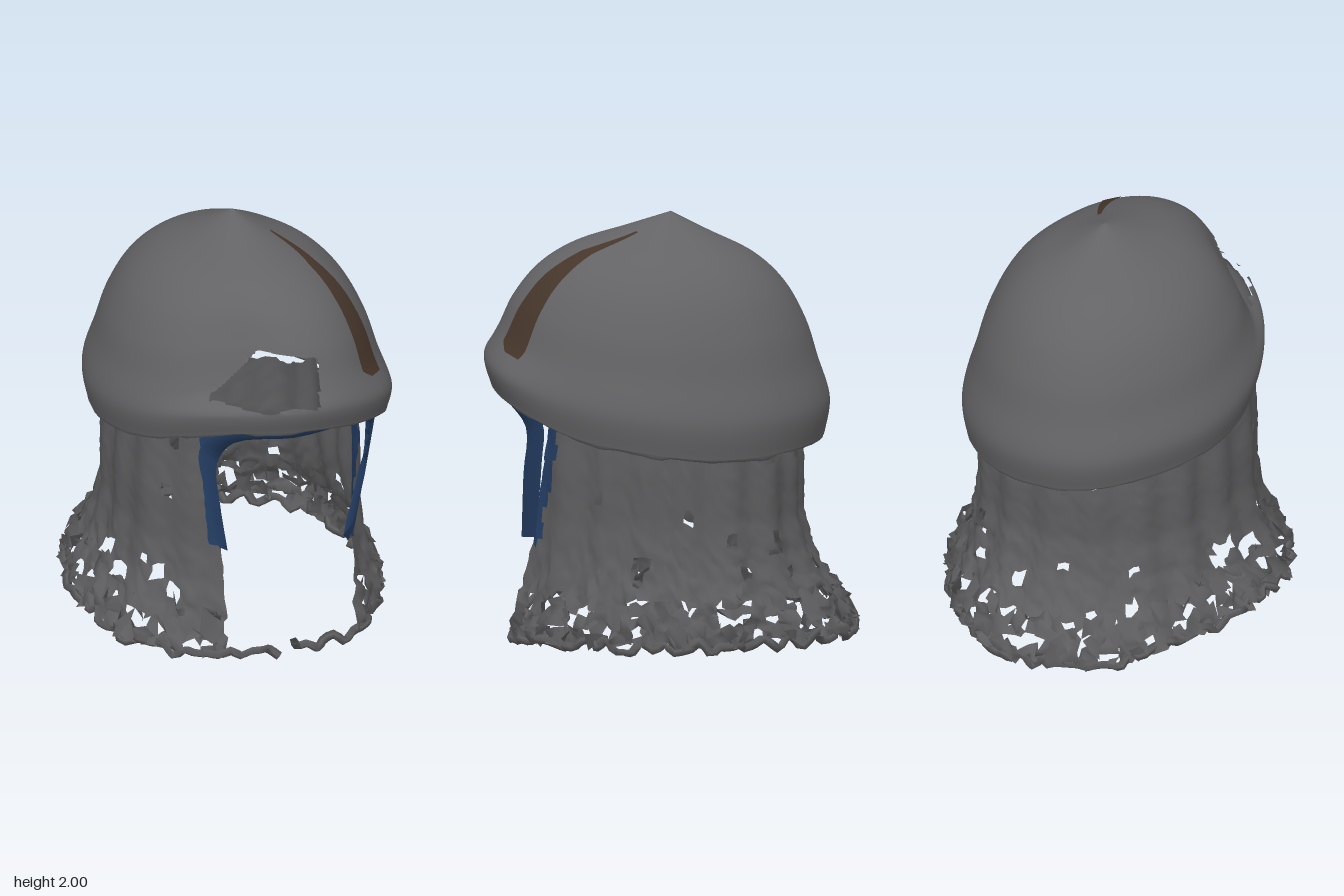
import * as THREE from 'three';

const mat = (name, color, side = THREE.FrontSide) => {
  const m = new THREE.MeshStandardMaterial({ color, side });
  m.name = name;
  return m;
};
const DEG = Math.PI / 180;
const CX = 0.07; // axis of the dome
const { lerp, smoothstep } = THREE.MathUtils;

// repeatable noise in 0..1
const hash = (i, j) => {
  const s = Math.sin(i * 127.1 + j * 311.7) * 43758.5453;
  return s - Math.floor(s);
};
// smooth closed curve through values given every 30 degrees (0 = left side, 90 = front)
const around = (table) => (deg) => {
  const n = table.length, f = (((deg % 360) + 360) % 360) / 360 * n;
  const i = Math.floor(f), t = f - i;
  const [a, b, c, d] = [-1, 0, 1, 2].map((k) => table[(i + k + n) % n]);
  return b + 0.5 * t * (c - a + t * (2 * a - 5 * b + 4 * c - d + t * (3 * (b - c) + d - a)));
};
// linear interpolation through [x, y] pairs, rising in x
const along = (pts) => (x) => {
  if (x <= pts[0][0]) return pts[0][1];
  for (let i = 1; i < pts.length; i++) {
    const [x0, y0] = pts[i - 1], [x1, y1] = pts[i];
    if (x <= x1) return y0 + (y1 - y0) * (x - x0) / (x1 - x0);
  }
  return pts[pts.length - 1][1];
};
const inside = (poly, x, y) => {
  let hit = false;
  for (let i = 0, j = poly.length - 1; i < poly.length; j = i++) {
    const [xi, yi] = poly[i], [xj, yj] = poly[j];
    if ((yi > y) !== (yj > y) && x < (xj - xi) * (y - yi) / (yj - yi) + xi) hit = !hit;
  }
  return hit;
};
// pulls a point lying close to an outline onto it, so cut edges run cleanly
function snap(p, poly, reach) {
  let best = reach, x = p.x, y = p.y;
  poly.forEach(([x0, y0], i) => {
    const [x1, y1] = poly[(i + 1) % poly.length], dx = x1 - x0, dy = y1 - y0;
    const t = THREE.MathUtils.clamp(((p.x - x0) * dx + (p.y - y0) * dy) / (dx * dx + dy * dy), 0, 1);
    const d = Math.hypot(x0 + t * dx - p.x, y0 + t * dy - p.y);
    if (d < best) { best = d; x = x0 + t * dx; y = y0 + t * dy; }
  });
  p.x = x; p.y = y;
}
const polar = (deg, r, y) => new THREE.Vector3(CX + r * Math.cos(deg * DEG), y, r * Math.sin(deg * DEG));

// Grid surface; pick(i, j, centre) gives the material index of a cell, or -1 for a hole
function gridMesh(name, nu, nv, closed, point, pick, materials, flip = false) {
  const cols = closed ? nu : nu + 1, pts = [], cells = materials.map(() => []);
  for (let j = 0; j <= nv; j++) for (let i = 0; i < cols; i++) pts.push(point(i, j));
  for (let j = 0; j < nv; j++) for (let i = 0; i < nu; i++) {
    const a = j * cols + i, b = j * cols + (i + 1) % cols, c = b + cols, d = a + cols;
    const mid = pts[a].clone().add(pts[b]).add(pts[c]).add(pts[d]).multiplyScalar(0.25);
    const m = pick(i, j, mid);
    if (m >= 0) cells[m].push(...(flip ? [a, b, c, a, c, d] : [a, c, b, a, d, c]));
  }
  const g = new THREE.BufferGeometry().setFromPoints(pts);
  g.setIndex(cells.flat());
  let start = 0;
  cells.forEach((c, k) => { g.addGroup(start, c.length, k); start += c.length; });
  g.computeVertexNormals();
  const mesh = new THREE.Mesh(g, materials);
  mesh.name = name;
  return mesh;
}

// Dome: plan outline, rim height and common profile (radius, height)
const domeR = around([0.655, 0.71, 0.835, 0.85, 0.77, 0.715, 0.69, 0.69, 0.73, 0.72, 0.68, 0.64]);
const rimY = around([0.97, 1.03, 1.17, 1.25, 1.23, 1.13, 1.07, 1.04, 1.0, 0.97, 0.94, 0.93]);
const domeProfile = new THREE.SplineCurve([[0.97, 0], [1, 0.15], [0.925, 0.33], [0.85, 0.5], [0.72, 0.67],
  [0.53, 0.8], [0.25, 0.905], [0, 1]].map((p) => new THREE.Vector2(...p)));
function domePoint(deg, t, scale) {
  const { x: r, y: u } = domeProfile.getPoint(t);
  const dent = 0.1 * Math.exp(-(((deg - 114) / 22) ** 2)) * smoothstep(u, 0.14, 0.25) * (1 - smoothstep(u, 0.5, 0.95));
  const flat = 0.04 * Math.exp(-(((deg - 55) / 15) ** 2)) * smoothstep(u, 0.12, 0.3);
  const y = rimY(deg) + (2 - rimY(deg)) * u;
  return polar(deg, domeR(deg) * r * (1 - dent - flat) * scale, y - (1 - scale) * u * 0.6);
}
// Hole seen from the front; stripe edges as angle against profile position
const holeOutline = [[-0.33, 1.39], [-0.25, 1.45], [-0.2, 1.5], [-0.1, 1.61], [0.02, 1.59], [0.15, 1.57],
  [0.13, 1.45], [0.1, 1.36], [-0.02, 1.385], [-0.12, 1.36], [-0.25, 1.38]];
const stripeFront = along([[0.22, 62], [0.25, 66], [0.43, 65], [0.57, 63.5], [0.714, 60], [0.86, 47]]);
const stripeBack = along([[0.22, 54], [0.25, 53], [0.5, 52], [0.714, 50], [0.86, 42]]);

// Curtain: upper and hem outlines, top edge and flare
const curtainR = around([0.51, 0.56, 0.65, 0.62, 0.70, 0.68, 0.61, 0.60, 0.60, 0.60, 0.60, 0.55]);
const hemR = around([0.64, 0.66, 0.73, 0.70, 0.82, 0.85, 0.79, 0.78, 0.83, 0.83, 0.74, 0.69]);
const curtainTop = around([1.05, 1.14, 1.2, 1.22, 1.2, 1.15, 1.1, 1.03, 0.94, 0.92, 0.91, 0.94]);
const hemY = around([0.07, 0.07, 0.05, 0.06, 0.11, 0.15, 0.16, 0.13, 0.09, 0.08, 0.08, 0.08]);
const flare = along([[0.05, 1], [0.14, 0.97], [0.25, 0.7], [0.35, 0.4], [0.45, 0.18], [0.62, 0], [0.85, 0], [1.1, -0.1]]);
const curtainRadius = (deg, y) => lerp(curtainR(deg), hemR(deg), flare(y));

export function createModel() {
  const model = new THREE.Group();
  model.name = 'helmet';
  const steel = mat('steel', 0x636365);
  const mail = mat('mail', 0x5d5d5f, THREE.DoubleSide);
  const leather = mat('leather', 0x46362b);
  const blue = mat('blueTrim', 0x253f66, THREE.DoubleSide);

  // Dome shell and its lining, pierced by the torn hole
  const NU = 240, NV = 64;
  const shellPoint = (scale) => (i, j) => {
    const p = domePoint(i * 360 / NU, j / NV, scale);
    if (p.z > 0) snap(p, holeOutline, 0.01);
    return p;
  };
  const inHole = (p) => p.z > 0 && inside(holeOutline, p.x, p.y);
  model.add(gridMesh('dome', NU, NV, true, shellPoint(1), (i, j, p) => (inHole(p) ? -1 : 0), [steel]));
  model.add(gridMesh('domeLining', NU, NV, true, shellPoint(0.965), (i, j, p) =>
    inHole(p) ? -1 : p.y > (p.z < 0.15 ? 1.28 : 1.55) ? 1 : 0, [steel, leather], true));

  // Painted stripe lying on the dome
  model.add(gridMesh('stripe', 8, 40, false, (i, j) => {
    const t = lerp(0.22, 0.86, j / 40);
    return domePoint(lerp(stripeBack(t), stripeFront(t), i / 8), t, 1.005);
  }, () => 0, [leather]));

  // Rolled rim closing shell and lining
  model.add(gridMesh('domeRim', 90, 4, true, (i, j) => {
    const a = j / 4 * Math.PI, p = domePoint(i * 4, 0, 1 - 0.0175 * (1 - Math.cos(a)));
    p.y -= Math.sin(a) * (0.006 + 0.018 * hash(i >> 1, 3));
    return p;
  }, () => 0, [steel], true));

  // Mail curtain, open at the front, with torn holes and blue front edges
  const CU = 130, CV = 30;
  model.add(gridMesh('mailCurtain', CU, CV, false, (i, j) => {
    const deg = lerp(lerp(117, 124, j / CV), 360 + lerp(66, 51, j / CV), i / CU);
    const top = curtainTop(deg) + 0.06 * (hash(i >> 2, 5) - 0.5);
    const y0 = hemY(deg) + 0.05 * (hash(i >> 1, 9) - 0.5);
    const y = lerp(y0, top, j / CV), loose = Math.max(0, flare(y));
    const r = curtainRadius(deg, y) + 0.012 * Math.sin(deg * 0.3) + (0.006 + 0.06 * loose) * (hash(i, j) - 0.5);
    return polar(deg + (0.5 + 2 * loose) * (hash(j, i + 50) - 0.5), r, y + (0.008 + 0.025 * loose) * (hash(i + 9, j) - 0.5));
  }, (i, j, p) => {
    const chance = p.y < 0.12 ? 0.1 : p.y < 0.27 ? 0.36 : p.y < 0.5 ? 0.06 : 0.015;
    if (i > 1 && i < CU - 2 && hash((i + (j >> 1) % 2) >> 1, (j >> 1) + 77) < chance) return -1;
    const edge = lerp(1.5, 3, smoothstep(p.y, 0.6, 0.9)) + 1.5 * hash(j >> 1, 31);
    return p.y > 0.5 && (i >= CU - edge || (i < 2 && p.y > 0.6)) ? 1 : 0;
  }, [mail, blue]));

  // Ragged ruffles folded over the bottom of the curtain
  model.add(gridMesh('hemRuffle', 96, 5, false, (i, j) => {
    const deg = lerp(119, 424, i / 96), y = hemY(deg) + j * 0.042 + 0.05 * (hash(i, j + 40) - 0.5);
    const fold = (i % 3 - 1) * 0.02 + 0.05 * (hash(i, j + 60) - 0.4);
    return polar(deg + 2 * (hash(i, j + 80) - 0.5), curtainRadius(deg, y) + fold, y);
  }, (i, j) => (hash(i >> 1, j + 90) < (j === 0 ? 0.15 : 0.42) ? -1 : 0), [mail]));

  // Knotted strand running round the hem, broken at the front
  const knots = [];
  for (let k = 0; k <= 100; k++) {
    const deg = lerp(99, 453, k / 100);
    knots.push(polar(deg, hemR(deg) + 0.05 * (hash(k, 1) - 0.6), hemY(deg) + 0.07 * (hash(k, 2) - 0.5)));
  }
  const strand = new THREE.Mesh(
    new THREE.TubeGeometry(new THREE.CatmullRomCurve3(knots), 200, 0.021, 4), mail);
  strand.name = 'hemStrand';
  model.add(strand);

  // Blue arch around the face opening: outer edge, inner edge, folded back
  const outer = [[-0.29, 0.61, 0.6], [-0.35, 0.92, 0.57], [-0.37, 1.12, 0.56], [-0.31, 1.21, 0.61], [0, 1.265, 0.76],
    [0.3, 1.255, 0.76], [0.47, 1.19, 0.66], [0.56, 1.08, 0.5], [0.52, 0.88, 0.51], [0.42, 0.52, 0.56]];
  const inner = [[-0.26, 0.6, 0.63], [-0.29, 0.85, 0.61], [-0.3, 1.05, 0.6], [-0.24, 1.17, 0.65], [0, 1.215, 0.8],
    [0.28, 1.215, 0.79], [0.43, 1.15, 0.69], [0.49, 1.04, 0.59], [0.45, 0.82, 0.61], [0.35, 0.51, 0.64]];
  const [outerCurve, innerCurve] = [outer, inner].map((l) =>
    new THREE.CatmullRomCurve3(l.map((p) => new THREE.Vector3(...p))));
  model.add(gridMesh('faceArch', 36, 2, false, (i, j) => {
    const p = (j === 0 ? outerCurve : innerCurve).getPoint(i / 36);
    if (j === 2) p.z -= 0.04 + 0.09 * smoothstep(p.y, 1.05, 1.2) + 0.03 * hash(i >> 1, 21);
    return p;
  }, () => 0, [blue]));

  return model;
}
